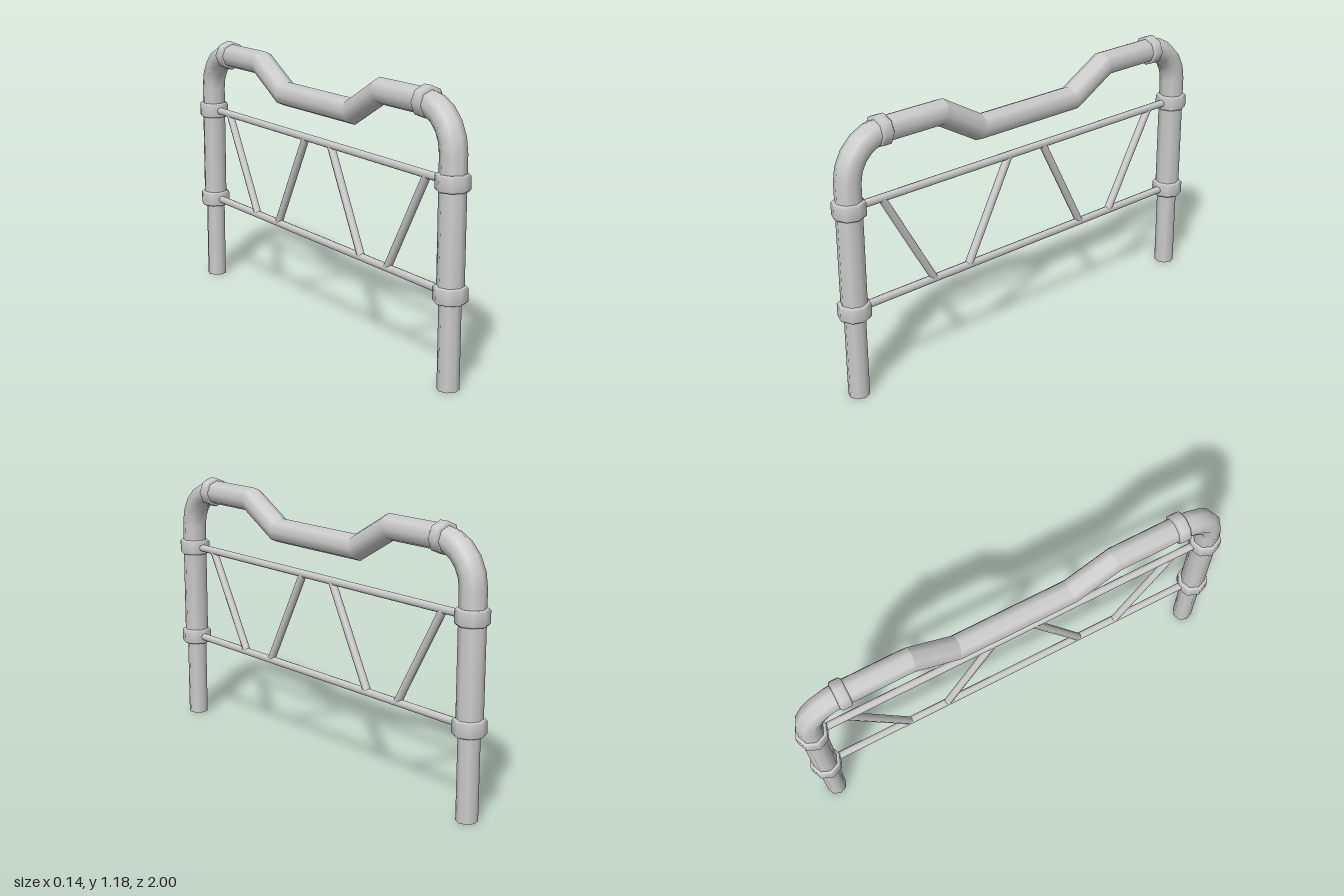
import * as THREE from 'three';

const SIDES = 8;
const POST_Z = 0.93, PIPE_R = 0.055, TOP_Y = 1.113, DIP_Y = 1.0;
const material = new THREE.MeshStandardMaterial({ color: 0xcccccc });

function add(group, name, geometry) {
  const mesh = new THREE.Mesh(geometry, material);
  mesh.name = name;
  group.add(mesh);
  return mesh;
}

// Mitred pipe along a path of { y, z, hard } points; hard points get a crisp joint
function sweepPipe(path, radius) {
  const dirs = path.slice(1).map((p, i) => new THREE.Vector2(p.y - path[i].y, p.z - path[i].z).normalize());
  const pos = [], nor = [], idx = [];
  const ring = (i, seg) => {
    const before = dirs[Math.max(i - 1, 0)], after = dirs[Math.min(i, dirs.length - 1)];
    const t = before.clone().add(after).normalize();
    const stretch = 1 / t.dot(before);
    const shade = path[i].hard ? dirs[seg] : t;
    for (let j = 0; j <= SIDES; j++) {
      const a = (j / SIDES) * Math.PI * 2, c = Math.cos(a), s = Math.sin(a);
      pos.push(c * radius, path[i].y - t.y * s * radius * stretch, path[i].z + t.x * s * radius * stretch);
      nor.push(c, -shade.y * s, shade.x * s);
    }
  };
  dirs.forEach((_, seg) => {
    const base = pos.length / 3;
    ring(seg, seg);
    ring(seg + 1, seg);
    for (let j = 0; j < SIDES; j++) {
      const a = base + j, b = a + SIDES + 1;
      idx.push(a, b, a + 1, b, b + 1, a + 1);
    }
  });
  const geo = new THREE.BufferGeometry();
  geo.setAttribute('position', new THREE.Float32BufferAttribute(pos, 3));
  geo.setAttribute('normal', new THREE.Float32BufferAttribute(nor, 3));
  geo.setIndex(idx);
  return geo;
}

// Octagonal ring with small chamfers, axis along y
function collarGeometry(radius, height) {
  const h = height / 2, c = 0.008;
  const profile = [[0.04, -h], [radius - c, -h], [radius, -h + c], [radius, h - c], [radius - c, h], [0.04, h]];
  return new THREE.LatheGeometry(profile.map(([x, y]) => new THREE.Vector2(x, y)), SIDES);
}

// Thin rod between two points in the x = 0 plane
function rod(group, name, y1, z1, y2, z2, radius) {
  const a = new THREE.Vector3(0, y1, z1), b = new THREE.Vector3(0, y2, z2);
  const mesh = add(group, name, new THREE.CylinderGeometry(radius, radius, a.distanceTo(b), SIDES));
  mesh.position.copy(a).lerp(b, 0.5);
  mesh.quaternion.setFromUnitVectors(new THREE.Vector3(0, 1, 0), b.sub(a).normalize());
}

export function createModel() {
  const model = new THREE.Group();
  model.name = 'pipeBarrier';

  // Main pipe: post, rounded corner, dipped top, mirrored to the other post
  const half = [{ y: 0.38, z: POST_Z }];
  const bend = 0.175;
  for (let i = 0; i <= 5; i++) {
    const a = (i / 5) * Math.PI / 2;
    half.push({ y: TOP_Y - bend + Math.sin(a) * bend, z: POST_Z - bend + Math.cos(a) * bend });
  }
  half.push({ y: TOP_Y, z: 0.465, hard: true }, { y: DIP_Y, z: 0.265, hard: true });
  const path = [...half, ...half.slice().reverse().map(p => ({ ...p, z: -p.z }))];
  add(model, 'mainPipe', sweepPipe(path, PIPE_R));

  // Horizontal rails
  const railR = 0.0175;
  rod(model, 'upperRail', 0.83, -POST_Z, 0.83, POST_Z, railR);
  rod(model, 'lowerRail', 0.39, -POST_Z, 0.39, POST_Z, railR);

  for (const s of [1, -1]) {
    // Leg below the main pipe
    const leg = add(model, 'leg', new THREE.CylinderGeometry(0.045, 0.045, 0.38, SIDES));
    leg.position.set(0, 0.19, s * POST_Z);

    // Collars where the rails meet the post
    for (const y of [0.39, 0.831]) {
      const collar = add(model, 'postCollar', collarGeometry(0.07, 0.068));
      collar.position.set(0, y, s * POST_Z);
    }

    // Collar on the top pipe after the corner
    const topCollar = add(model, 'topCollar', collarGeometry(0.067, 0.054));
    topCollar.position.set(0, TOP_Y, s * 0.765);
    topCollar.rotation.x = Math.PI / 2;

    // Diagonal braces
    rod(model, 'outerBrace', 0.83, s * 0.772, 0.39, s * 0.518, railR);
    rod(model, 'innerBrace', 0.83, s * 0.098, 0.39, s * 0.332, railR);
  }
  return model;
}
